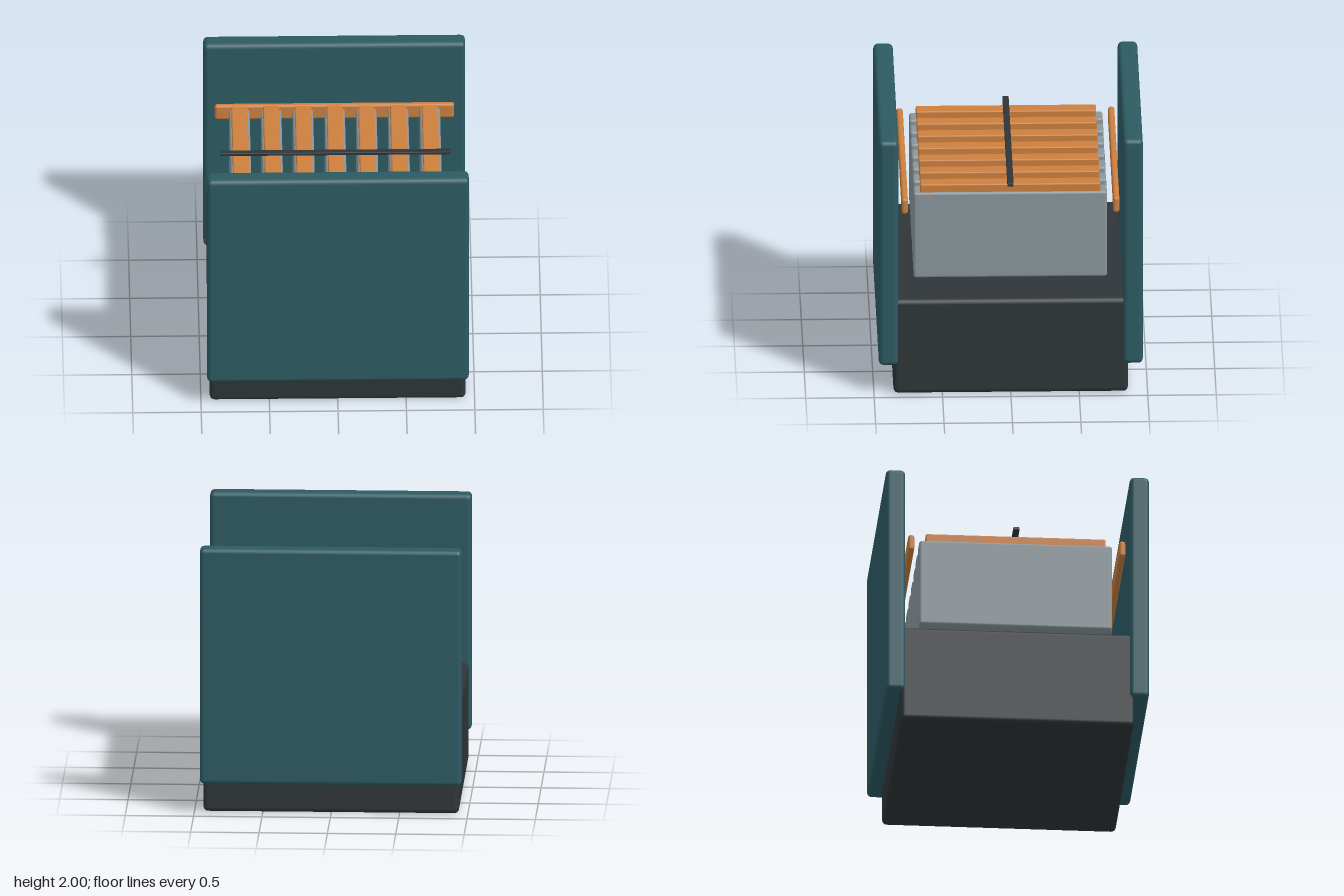
import * as THREE from 'three';
import { RoundedBoxGeometry } from 'three/addons/geometries/RoundedBoxGeometry.js';

const material = (color) => new THREE.MeshStandardMaterial({ color });

export function createModel() {
  const model = new THREE.Group();
  model.name = 'slottedCase';

  const teal = material(0x2c5a62);
  const dark = material(0x2e3538);
  const grey = material(0x8a969b);
  const orange = material(0xcc7f3e);

  // Softly bevelled block given by its size, centre x, bottom y and centre z
  function block(name, mat, [w, h, d], [x, bottom, z], radius) {
    const mesh = new THREE.Mesh(new RoundedBoxGeometry(w, h, d, 2, radius), mat);
    mesh.name = name;
    mesh.position.set(x, bottom + h / 2, z);
    model.add(mesh);
  }

  // Heavy base
  block('base', dark, [1.87, 0.74, 1.715], [0, 0, 0], 0.036);

  // Tall end panels with a rail inside each
  for (const [side, s] of [['front', 1], ['back', -1]]) {
    block(side + 'Panel', teal, [1.914, 1.77, 0.143], [0, 0.23, s * 0.8935], 0.034);
    block(side + 'Rail', orange, [1.75, 0.12, 0.046], [0, 1.395, s * 0.773], 0.018);
  }

  // Row of upright plates, each capped with a strip
  for (let i = -3; i <= 3; i++) {
    const x = i * 0.232;
    block('plate', grey, [0.15, 0.672, 1.414], [x, 0.848, 0], 0.018);
    block('plateCap', orange, [0.118, 0.08, 1.316], [x, 1.5, 0], 0.01);
  }

  // Thin bar across the caps
  block('crossBar', dark, [1.68, 0.023, 0.046], [0, 1.594, 0], 0.005);

  return model;
}
